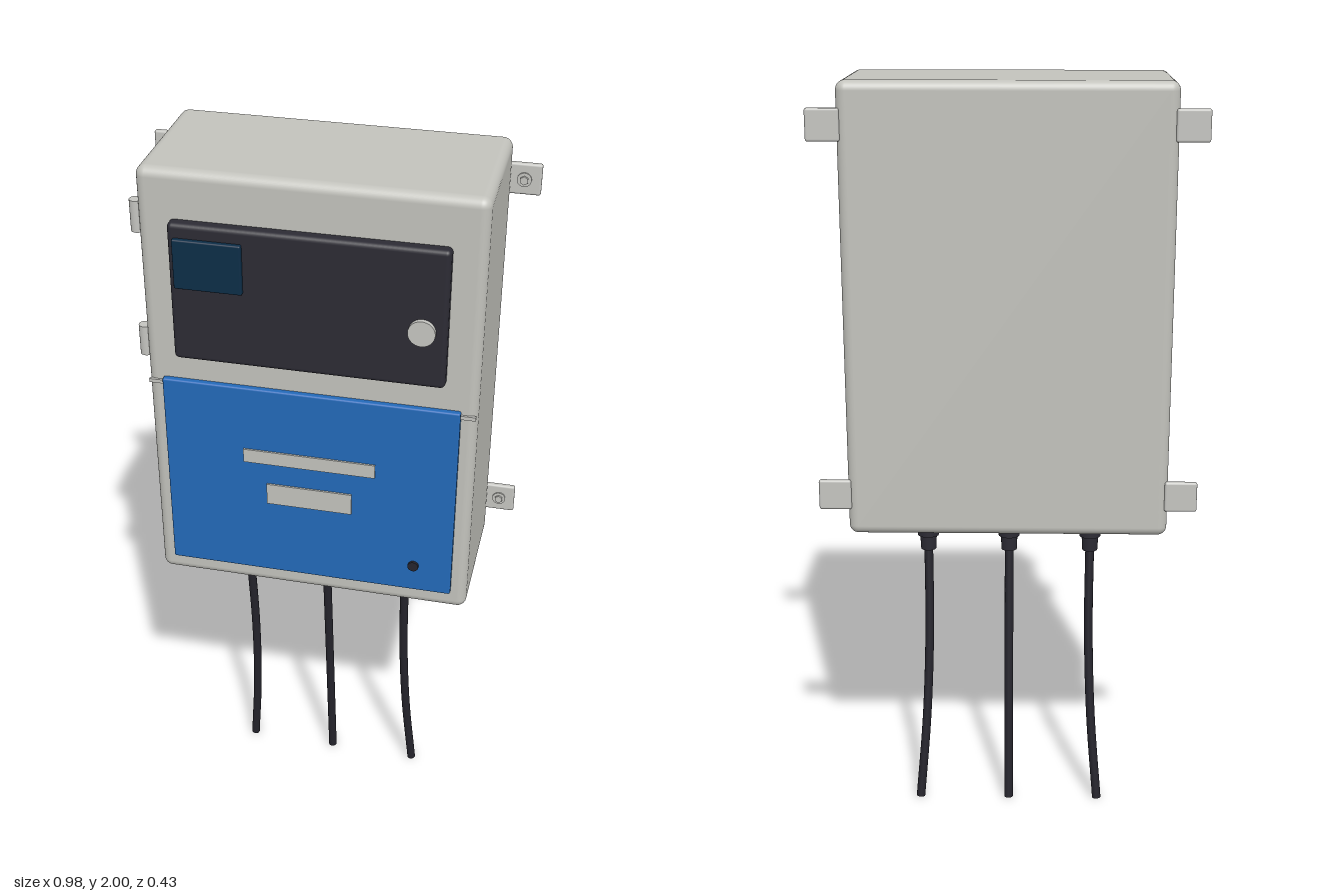
import * as THREE from 'three';
import { RoundedBoxGeometry } from 'three/addons/geometries/RoundedBoxGeometry.js';

const mat = (name, color) => {
  const m = new THREE.MeshStandardMaterial({ color });
  m.name = name;
  return m;
};

export function createModel() {
  const shell = mat('warm grey enclosure', 0xc2c2bc);
  const metal = mat('light metal', 0xc4c4c0);
  const dark = mat('charcoal plastic', 0x2c2b34);
  const blue = mat('blue door', 0x2369b8);
  const glass = mat('navy display', 0x0c2d47);
  const rubber = mat('black rubber', 0x25242c);

  const root = new THREE.Group();
  root.name = 'wallControlBox';
  const add = (name, geo, material, x, y, z, parent = root) => {
    const m = new THREE.Mesh(geo, material);
    m.name = name;
    m.position.set(x, y, z);
    parent.add(m);
    return m;
  };
  // Rounded block given by its limits on each axis
  const block = (name, material, [x0, x1], [y0, y1], [z0, z1], r, seg = 3) =>
    add(name, new RoundedBoxGeometry(x1 - x0, y1 - y0, z1 - z0, seg, r), material,
      (x0 + x1) / 2, (y0 + y1) / 2, (z0 + z1) / 2);
  // Round button facing the front
  const disc = (name, material, r, x, y, z0, z1, sides = 32, parent = root) => {
    const g = new THREE.CylinderGeometry(r, r, z1 - z0, sides).rotateX(Math.PI / 2);
    return add(name, g, material, x, y, (z0 + z1) / 2, parent);
  };

  // Enclosure
  block('enclosure', shell, [-0.415, 0.415], [0.84, 2], [-0.214, 0.173], 0.024, 5);

  // Upper instrument panel with display and knob
  block('instrumentPanel', dark, [-0.335, 0.335], [1.52, 1.88], [0.155, 0.2], 0.012);
  block('display', glass, [-0.321, -0.154], [1.718, 1.845], [0.19, 0.212], 0.004);
  disc('knob', metal, 0.033, 0.276, 1.67, 0.195, 0.212);

  // Lower door with blank label plates and lock
  block('door', blue, [-0.375, 0.375], [0.895, 1.45], [0.16, 0.188], 0.005);
  add('upperLabel', new THREE.BoxGeometry(0.34, 0.038, 0.006), shell, 0, 1.254, 0.19);
  add('lowerLabel', new THREE.BoxGeometry(0.222, 0.06, 0.006), shell, 0, 1.144, 0.19);
  disc('doorLock', rubber, 0.014, 0.276, 0.975, 0.185, 0.195, 24);
  add('doorSeam', new THREE.BoxGeometry(0.824, 0.01, 0.008), metal, 0, 1.435, 0.175);

  // Hinge barrels on the model's right edge
  for (const y of [1.868, 1.535])
    add('hinge', new THREE.CylinderGeometry(0.016, 0.016, 0.08, 20), metal, -0.424, y, 0.145);

  // Wall mounting tabs with screws
  for (const side of [-1, 1]) {
    for (const y of [1.895, 0.95]) {
      const tab = new THREE.Group();
      tab.name = 'mountingTab';
      tab.position.set(side * 0.448, y, 0);
      add('tabPlate', new RoundedBoxGeometry(0.084, 0.08, 0.016, 3, 0.006), metal, 0, 0, -0.207, tab);
      disc('washer', metal, 0.018, 0, 0, -0.2, -0.195, 20, tab);
      disc('screwHead', metal, 0.011, 0, 0, -0.197, -0.189, 6, tab);
      root.add(tab);
    }
  }

  // Cable glands and hanging cables
  for (const side of [-1, 0, 1]) {
    const x = side * 0.222;
    add('glandBody', new THREE.CylinderGeometry(0.029, 0.029, 0.08, 20), dark, x, 0.808, -0.017);
    add('glandNut', new THREE.CylinderGeometry(0.023, 0.021, 0.045, 20), dark, x, 0.75, -0.017);
    const path = new THREE.CatmullRomCurve3([
      [0.222, 0.76, -0.016], [0.221, 0.5, -0.045], [0.23, 0.25, -0.073], [0.25, 0.002, -0.1],
    ].map(([px, y, z]) => new THREE.Vector3(px * side, y, z)));
    add('cable', new THREE.TubeGeometry(path, 24, 0.012, 12), rubber, 0, 0, 0);
    const end = add('cableEnd', new THREE.CircleGeometry(0.012, 12), rubber, 0, 0, 0);
    end.position.copy(path.getPoint(1));
    end.lookAt(path.getPoint(1).add(path.getTangent(1)));
  }
  return root;
}
